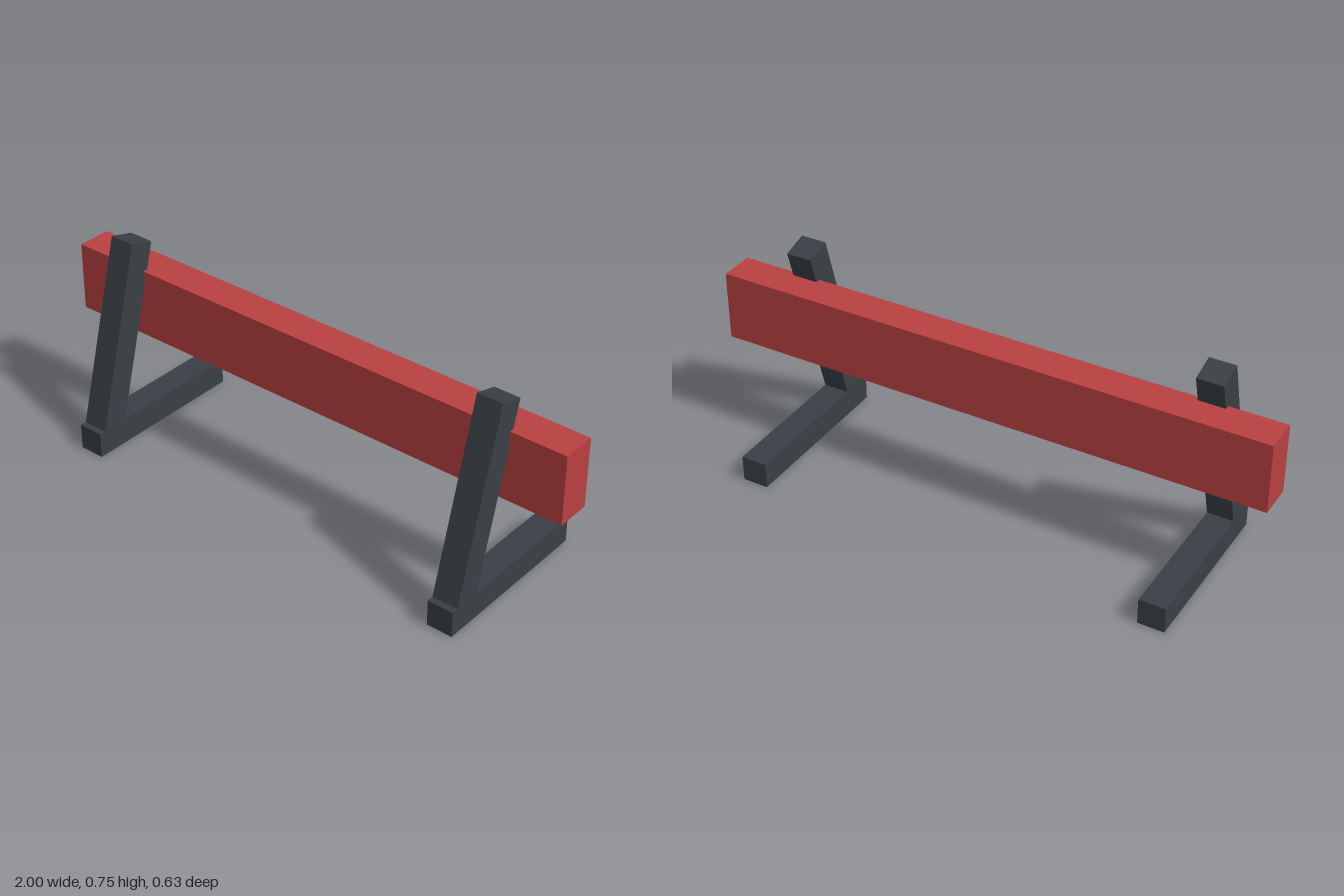
import * as THREE from 'three';

const red = new THREE.MeshStandardMaterial({ color: 0xb94040 });
const dark = new THREE.MeshStandardMaterial({ color: 0x3a3f45 });

function box(name, size, position, material) {
  const mesh = new THREE.Mesh(new THREE.BoxGeometry(...size), material);
  mesh.name = name;
  mesh.position.set(...position);
  return mesh;
}

// L-shaped support: flat foot plus a post leaning back over it
function createSupport(name, x) {
  const support = new THREE.Group();
  support.name = name;
  support.position.x = x;

  const bar = 0.094, lean = 0.27, length = 0.72;
  const foot = box('foot', [bar, bar, 0.627], [0, bar / 2, 0], dark);

  // Placed from the centre of its top end; the lower end is buried in the foot
  const post = box('post', [bar, length, bar], [
    0,
    0.7365 - (length / 2) * Math.cos(lean),
    0.063 + (length / 2) * Math.sin(lean),
  ], dark);
  post.rotation.x = -lean;

  support.add(foot, post);
  return support;
}

export function createModel() {
  const model = new THREE.Group();
  model.name = 'barrier';
  model.add(box('beam', [2, 0.25, 0.125], [0, 0.502, 0], red));
  model.add(createSupport('leftSupport', 0.75), createSupport('rightSupport', -0.75));
  return model;
}
